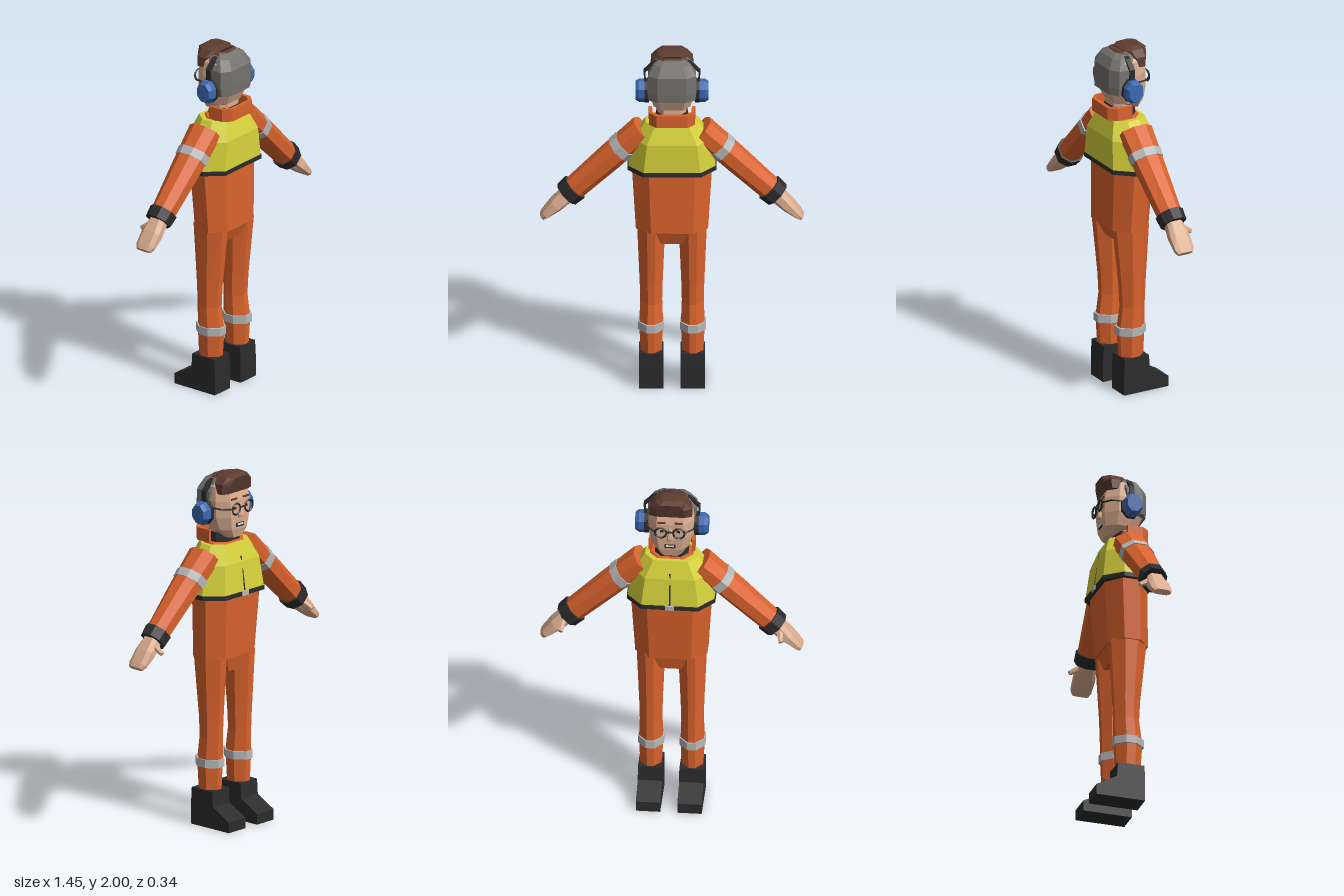
import * as THREE from 'three';

const mat = (name, color) => {
  const m = new THREE.MeshStandardMaterial({ color });
  m.name = name;
  return m;
};

export function createModel() {
  const orange = mat('orange fabric', 0xdb632d);
  const yellow = mat('yellow vest', 0xd6d23c);
  const black = mat('black', 0x2c2c2c);
  const skin = mat('skin', 0xdcae90);
  const blue = mat('blue plastic', 0x3a68b2);
  const silver = mat('reflective silver', 0xb6b8ba);
  const grey = mat('grey hair', 0x74726d);
  const brown = mat('brown hair', 0x5e3c30);
  const white = mat('white teeth', 0xe6e6e2);

  const model = new THREE.Group();
  model.name = 'worker';

  // Adds a mesh with flat facets
  function add(parent, name, geometry, material) {
    const g = geometry.index ? geometry.toNonIndexed() : geometry;
    g.computeVertexNormals();
    const mesh = new THREE.Mesh(g, material);
    mesh.name = name;
    parent.add(mesh);
    return mesh;
  }

  // Chamfered eight-sided loft; each section is [y, halfWidth, zMin, zMax]
  function loft(sections, kx = 0.6, kz = 0.4, cx = 0) {
    const pos = [], idx = [], n = 8, last = sections.length - 1;
    for (const [y, hx, z0, z1] of sections) {
      const c = (z0 + z1) / 2, hz = (z1 - z0) / 2;
      const ring = [[1, -kz], [kx, -1], [-kx, -1], [-1, -kz], [-1, kz], [-kx, 1], [kx, 1], [1, kz]];
      for (const [x, z] of ring) pos.push(cx + x * hx, y, c + z * hz);
    }
    for (let s = 0; s < last; s++) {
      for (let i = 0; i < n; i++) {
        const a = s * n + i, b = s * n + (i + 1) % n;
        idx.push(a, b, b + n, a, b + n, a + n);
      }
    }
    for (let i = 1; i < n - 1; i++) {
      idx.push(0, i + 1, i, last * n, last * n + i, last * n + i + 1);
    }
    const g = new THREE.BufferGeometry();
    g.setAttribute('position', new THREE.Float32BufferAttribute(pos, 3));
    g.setIndex(idx);
    return g;
  }

  const box = (w, h, d, x, y, z) => new THREE.BoxGeometry(w, h, d).translate(x, y, z);

  // Thin rod between two points
  function rod(a, b, r0, r1 = r0, sides = 5) {
    const p = new THREE.Vector3(...a), q = new THREE.Vector3(...b);
    const d = q.clone().sub(p);
    const g = new THREE.CylinderGeometry(r1, r0, d.length(), sides);
    g.applyQuaternion(new THREE.Quaternion().setFromUnitVectors(new THREE.Vector3(0, 1, 0), d.normalize()));
    const m = p.add(q).multiplyScalar(0.5);
    return g.translate(m.x, m.y, m.z);
  }

  const outline = pts => new THREE.Shape(pts.map(p => new THREE.Vector2(...p)));
  const extrude = (pts, depth) => new THREE.ExtrudeGeometry(outline(pts), { depth, bevelEnabled: false });

  // Torso and crotch
  add(model, 'torso', loft([[0.96, 0.198, -0.08, 0.15], [1.33, 0.22, -0.105, 0.145]], 0.58), orange);
  add(model, 'crotch', loft([[0.875, 0.07, -0.05, 0.1], [0.965, 0.115, -0.072, 0.135]], 0.8, 0.7), orange);

  // Vest with hem, zip and buckle
  add(model, 'vest', loft([[1.33, 0.24, -0.12, 0.168], [1.5, 0.212, -0.1, 0.163], [1.6, 0.145, -0.065, 0.13]], 0.65, 0.35), yellow);
  add(model, 'vestHem', loft([[1.312, 0.243, -0.123, 0.17], [1.337, 0.243, -0.123, 0.17]], 0.65, 0.35), black);
  add(model, 'zip', rod([0, 1.34, -0.119], [0, 1.53, -0.09], 0.005), black);
  add(model, 'buckle', box(0.05, 0.026, 0.008, 0, 1.325, -0.124), silver);

  // Collar, open at the face side
  add(model, 'collarBase', loft([[1.59, 0.125, -0.05, 0.125], [1.608, 0.115, -0.04, 0.12]]), orange);
  const collar = extrude([[0.11, -0.03], [0.128, -0.03], [0.125, -0.12], [0.085, -0.162], [-0.085, -0.162],
    [-0.125, -0.12], [-0.128, -0.03], [-0.11, -0.03], [-0.105, -0.11], [-0.075, -0.14], [0.075, -0.14], [0.105, -0.11]], 0.072);
  add(model, 'collar', collar.rotateX(-Math.PI / 2).translate(0, 1.608, 0), orange);
  add(model, 'undershirt', loft([[1.59, 0.095, -0.035, 0.11], [1.66, 0.085, -0.025, 0.105]]), black);

  // Arms hang along local -y and are turned outward
  for (const side of [1, -1]) {
    const arm = new THREE.Group();
    arm.name = side > 0 ? 'leftArm' : 'rightArm';
    arm.position.set(0.16 * side, 1.545, 0);
    arm.rotation.z = 0.805 * side;
    model.add(arm);
    add(arm, 'sleeve', loft([[-0.53, 0.063, -0.03, 0.097], [-0.25, 0.069, -0.046, 0.113], [0, 0.069, -0.06, 0.123]], 0.45), orange);
    add(arm, 'armBand', loft([[-0.185, 0.073, -0.055, 0.121], [-0.135, 0.073, -0.058, 0.124]], 0.45), silver);
    add(arm, 'cuff', loft([[-0.58, 0.07, -0.037, 0.1], [-0.515, 0.074, -0.04, 0.106]], 0.45), black);
    add(arm, 'hand', loft([[-0.765, 0.016, -0.01, 0.08], [-0.74, 0.022, -0.024, 0.092],
      [-0.66, 0.036, -0.026, 0.094], [-0.57, 0.042, -0.012, 0.08]], 0.5, 0.6), skin);
    add(arm, 'thumb', rod([0, -0.605, 0], [-0.017 * side, -0.635, -0.062], 0.022, 0.013, 6), skin);
  }

  // Legs, bands and boots
  for (const side of [1, -1]) {
    const cx = 0.114 * side, leg = new THREE.Group();
    leg.name = side > 0 ? 'leftLeg' : 'rightLeg';
    model.add(leg);
    add(leg, 'trouserLeg', loft([[0.2, 0.058, -0.036, 0.102], [0.36, 0.065, -0.043, 0.112], [0.5, 0.06, -0.045, 0.094],
      [0.62, 0.063, -0.05, 0.1], [0.97, 0.077, -0.07, 0.135]], 0.3, 0.35, cx), orange);
    add(leg, 'legBand', loft([[0.338, 0.071, -0.051, 0.12], [0.384, 0.071, -0.051, 0.12]], 0.35, 0.35, cx), silver);
    const boot = extrude([[-0.113, 0], [0.168, 0], [0.168, 0.06], [0.05, 0.125], [0.044, 0.21], [-0.108, 0.21], [-0.113, 0.13]], 0.134);
    add(leg, 'boot', boot.rotateY(Math.PI / 2).translate(cx - 0.067, 0, 0), black);
  }

  // Head and hair
  add(model, 'neck', loft([[1.58, 0.075, -0.02, 0.1], [1.72, 0.08, -0.02, 0.1]]), skin);
  add(model, 'head', loft([[1.637, 0.055, -0.068, 0.0], [1.685, 0.1, -0.08, 0.1], [1.76, 0.122, -0.085, 0.135],
    [1.85, 0.126, -0.085, 0.138], [1.93, 0.116, -0.066, 0.13], [1.96, 0.09, -0.04, 0.1]]), skin);
  add(model, 'backHair', loft([[1.755, 0.127, 0.015, 0.15], [1.8, 0.134, 0.0, 0.152], [1.9, 0.132, -0.015, 0.15],
    [1.955, 0.1, -0.02, 0.118], [1.975, 0.07, -0.02, 0.085]], 0.6, 0.55), grey);
  add(model, 'topHair', loft([[1.895, 0.118, -0.074, -0.01], [1.95, 0.115, -0.088, 0.025],
    [1.985, 0.082, -0.097, 0.045], [2.0, 0.055, -0.07, 0.005]], 0.65, 0.5), brown);
  add(model, 'crownHair', loft([[1.95, 0.1, 0.0, 0.105], [1.982, 0.065, 0.0, 0.075]]), brown);

  // Face details
  add(model, 'nose', loft([[1.752, 0.018, -0.1, -0.07], [1.768, 0.017, -0.104, -0.07], [1.83, 0.008, -0.088, -0.07]]), skin);
  add(model, 'mouth', box(0.06, 0.022, 0.008, 0, 1.71, -0.0825), black);
  add(model, 'teeth', box(0.046, 0.01, 0.009, 0, 1.713, -0.0845), white);

  // Glasses, eyes and brows
  for (const s of [1, -1]) {
    add(model, 'eye', box(0.02, 0.014, 0.006, 0.045 * s, 1.81, -0.086), black);
    add(model, 'eyebrow', box(0.045, 0.01, 0.008, 0.047 * s, 1.862, -0.083), brown);
    add(model, 'lensRim', new THREE.TorusGeometry(0.032, 0.006, 4, 10).translate(0.05 * s, 1.81, -0.104), black);
    add(model, 'hinge', rod([0.08 * s, 1.815, -0.104], [0.128 * s, 1.815, -0.06], 0.005), black);
    add(model, 'temple', rod([0.128 * s, 1.815, -0.06], [0.136 * s, 1.815, 0.03], 0.005), black);
  }
  add(model, 'bridge', rod([-0.02, 1.815, -0.104], [0.02, 1.815, -0.104], 0.005), black);

  // Ear defenders with headband
  for (const s of [1, -1]) {
    const cup = (r0, r1, len, x) => new THREE.CylinderGeometry(r1, r0, len, 8)
      .rotateY(Math.PI / 8).rotateZ(-s * Math.PI / 2).scale(1, 1.2, 1).translate(x * s, 1.783, 0.046);
    add(model, 'earPad', cup(0.058, 0.058, 0.025, 0.138), black);
    add(model, 'earCup', cup(0.056, 0.056, 0.03, 0.165), blue);
    add(model, 'earCupCap', cup(0.056, 0.044, 0.022, 0.19), blue);
  }
  const arc = [[0.152, 1.83], [0.156, 1.905], [0.108, 1.954], [0.05, 1.982]];
  const inner = arc.map(([x, y]) => [x - 0.01, y - 0.008]);
  const flip = pts => pts.map(([x, y]) => [-x, y]).reverse();
  const band = extrude([...arc, ...flip(arc), ...inner.map(([x, y]) => [-x, y]), ...inner.slice().reverse()], 0.03);
  add(model, 'headband', band.translate(0, 0, 0.03), black);

  return model;
}
